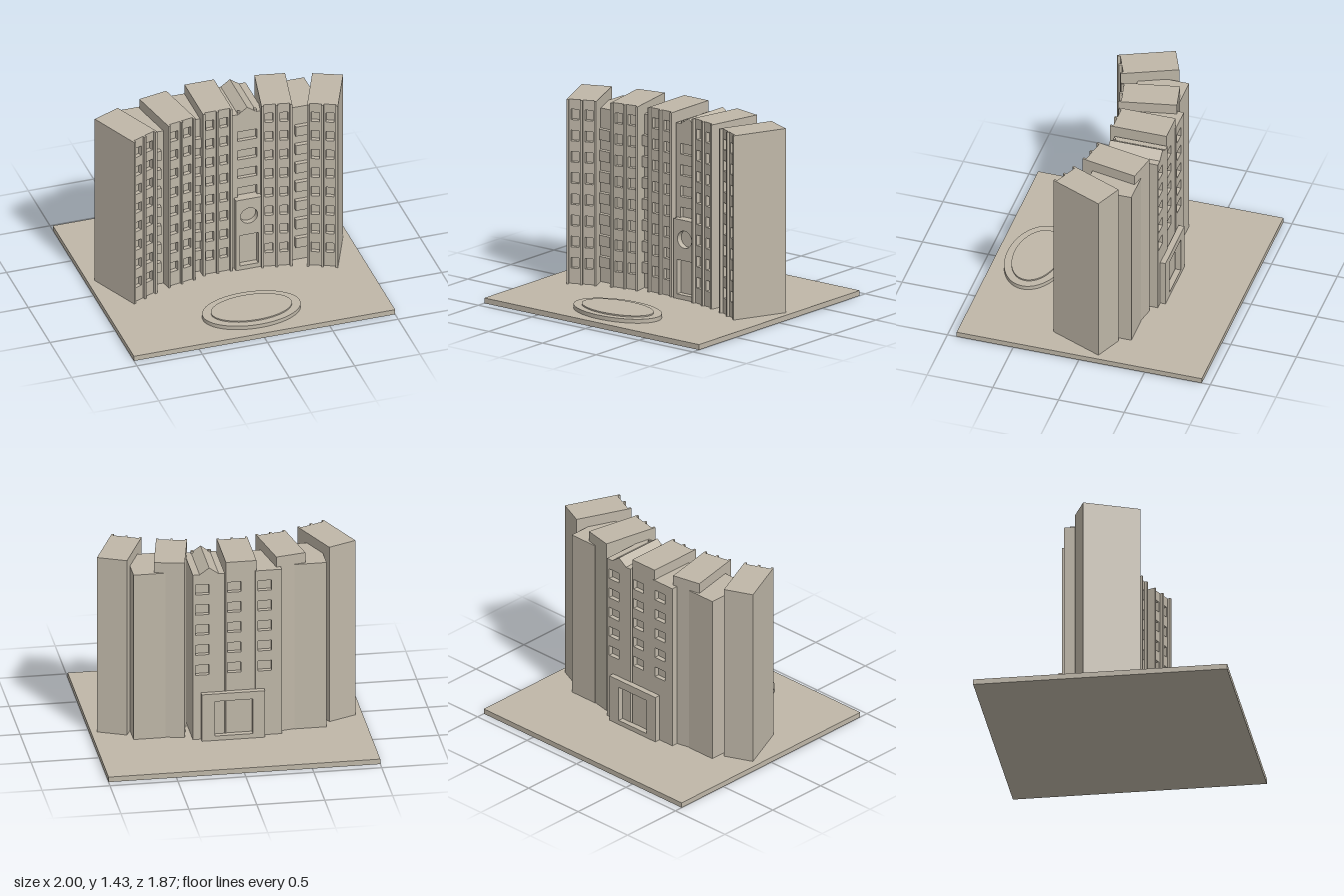
import * as THREE from 'three';

const stone = new THREE.MeshStandardMaterial({ color: 0xbfb7a8 });
stone.name = 'stone';

const GROUND = 0.04;      // top of the base plate
const TOWER_TOP = 1.43;
const WING_TOP = 1.35;
const FLOOR = 0.16;       // storey height

function add(parent, name, geometry, x = 0, y = 0, z = 0) {
  const mesh = new THREE.Mesh(geometry, stone);
  mesh.name = name;
  mesh.position.set(x, y, z);
  parent.add(mesh);
  return mesh;
}

// Box given by its limits on each axis
function block(parent, name, x0, x1, y0, y1, z0, z1) {
  return add(parent, name, new THREE.BoxGeometry(x1 - x0, y1 - y0, z1 - z0),
    (x0 + x1) / 2, (y0 + y1) / 2, (z0 + z1) / 2);
}

function rectPath(x0, x1, y0, y1, PathType = THREE.Path) {
  const p = new PathType();
  p.moveTo(x0, y0);
  p.lineTo(x1, y0);
  p.lineTo(x1, y1);
  p.lineTo(x0, y1);
  p.closePath();
  return p;
}

// Wall slab pierced by openings, from z0 to z1
function wall(parent, name, x0, x1, y0, y1, z0, z1, holes) {
  const shape = rectPath(x0, x1, y0, y1, THREE.Shape);
  shape.holes.push(...holes);
  const geometry = new THREE.ExtrudeGeometry(shape, { depth: z1 - z0, bevelEnabled: false, curveSegments: 24 });
  return add(parent, name, geometry, 0, 0, z0);
}

// Columns of windows: one per centre x, rows rising by one storey
function windows(centres, width, y, rows, height = 0.08) {
  const holes = [];
  for (const cx of centres)
    for (let i = 0; i < rows; i++)
      holes.push(rectPath(cx - width / 2, cx + width / 2, y + i * FLOOR, y + i * FLOOR + height));
  return holes;
}

// Tall tower: body, two window bays and three thin pilasters
function tower(x, z, angle, rearWindows) {
  const g = new THREE.Group();
  g.name = 'tower';
  const w = 0.1125, front = 0.215, back = -0.215;
  const rear = rearWindows ? back + 0.035 : back;
  block(g, 'towerBody', -w, w, GROUND, TOWER_TOP, rear, front - 0.055);
  wall(g, 'towerFacade', -w, w, GROUND, TOWER_TOP, front - 0.055, front - 0.022,
    windows([-0.054, 0.054], 0.06, 0.155, 8));
  for (const px of [-w + 0.008, 0, w - 0.008])
    block(g, 'pilaster', px - 0.008, px + 0.008, GROUND, TOWER_TOP, front - 0.022, front);
  if (rearWindows)
    wall(g, 'towerRearWall', -w, w, GROUND, TOWER_TOP, back, rear, rearWindows);
  g.position.set(x, 0, z);
  g.rotation.y = angle;
  return g;
}

// Stack of shallow projecting balconies
function balconies(parent, x0, x1, z0, z1) {
  for (let i = 0; i < 7; i++)
    block(parent, 'balcony', x0, x1, 0.16 + i * FLOOR, 0.24 + i * FLOOR, z0, z1);
}

export function createModel() {
  const model = new THREE.Group();
  model.name = 'curvedApartmentBuilding';

  block(model, 'basePlate', -1, 1, 0, GROUND, -0.935, 0.93);

  // Oval plinth in the forecourt
  const oval = (name, rx, rz, y0, y1) =>
    add(model, name, new THREE.CylinderGeometry(1, 1, y1 - y0, 64), 0, (y0 + y1) / 2, 0.627).scale.set(rx, 1, rz);
  oval('ovalRim', 0.37, 0.225, GROUND, 0.07);
  oval('ovalStep', 0.305, 0.172, 0.07, 0.08);

  // Five towers on an arc
  const axis = 0.005;
  model.add(tower(-0.0675, -0.155, 0, windows([0.05], 0.1, 0.55, 5)));
  for (const s of [-1, 1]) {
    model.add(tower(axis + s * 0.405, -0.1, -s * 0.2));
    model.add(tower(axis + s * 0.762, 0.018, -s * 0.41));
  }

  // Outer linking wings with balconies
  for (const s of [-1, 1]) {
    const span = (a, b) => [axis + s * a, axis + s * b].sort((p, q) => p - q);
    block(model, 'outerWing', ...span(0.475, 0.71), GROUND, WING_TOP, -0.31, 0.055);
    balconies(model, ...span(0.515, 0.625), 0.055, 0.09);
  }

  // Inner wing beside the central tower
  block(model, 'innerWing', -0.365, -0.17, GROUND, WING_TOP, -0.34, -0.015);
  wall(model, 'innerWingRearWall', -0.365, -0.17, GROUND, WING_TOP, -0.376, -0.34,
    windows([-0.24], 0.1, 0.55, 5));
  balconies(model, -0.26, -0.175, -0.015, 0.02);

  // Entrance wing with windows on both faces
  block(model, 'entranceWing', 0.056, 0.29, GROUND, WING_TOP, -0.345, -0.01);
  wall(model, 'entranceFacade', 0.056, 0.29, GROUND, WING_TOP, -0.01, 0.02, windows([0.17], 0.15, 0.64, 4));
  wall(model, 'entranceRearWall', 0.056, 0.29, GROUND, WING_TOP, -0.38, -0.345,
    windows([0.22], 0.1, 0.55, 5));

  // Entrance portal with a doorway and a round window
  const round = new THREE.Path();
  round.absarc(0.17, 0.495, 0.065, 0, Math.PI * 2, true);
  wall(model, 'entrancePortal', 0.068, 0.27, GROUND, 0.64, 0.02, 0.065,
    [rectPath(0.1, 0.24, 0.075, 0.335), round]);

  // Gabled roof with small corner ornaments
  const gable = new THREE.Shape();
  gable.moveTo(0.1, WING_TOP);
  gable.lineTo(0.24, WING_TOP);
  gable.lineTo(0.17, 1.4);
  gable.closePath();
  add(model, 'gable', new THREE.ExtrudeGeometry(gable, { depth: 0.4, bevelEnabled: false }), 0, 0, -0.38);
  for (const x of [0.108, 0.234])
    add(model, 'gableOrnament', new THREE.CylinderGeometry(0.012, 0.012, 0.02, 16), x, WING_TOP + 0.01, 0.006);

  // Rear portal with a deep doorway
  wall(model, 'rearPortal', -0.235, 0.23, GROUND, 0.41, -0.42, -0.376, [rectPath(-0.145, 0.135, 0.075, 0.35)]);

  return model;
}
